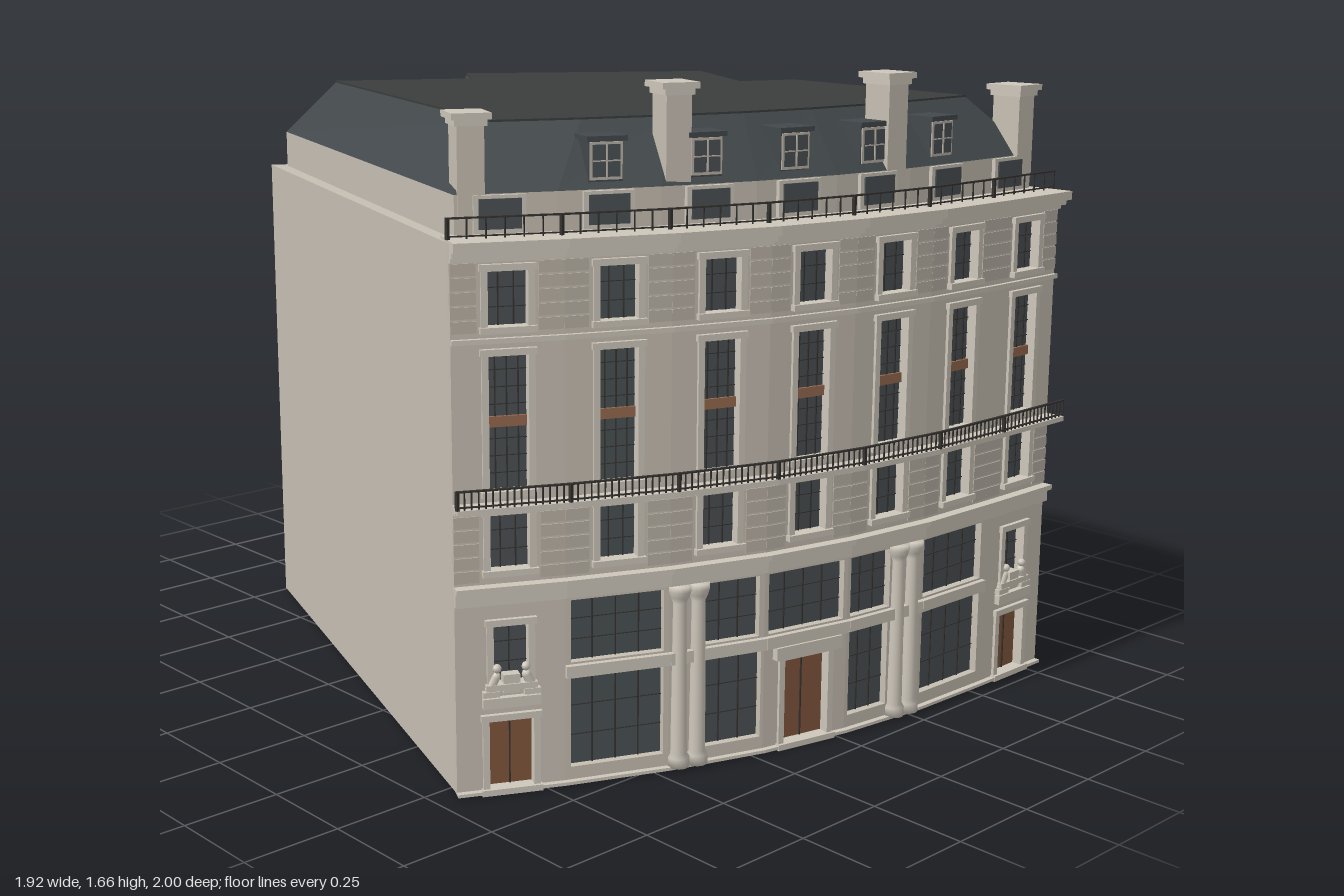
import * as THREE from 'three';

const mat = (color, opt = {}) => new THREE.MeshStandardMaterial({ color, flatShading: true, ...opt });
const stone = mat(0xc6beb2), trim = mat(0xcdc6ba), glass = mat(0x4a5054), slate = mat(0x42484b),
  flatRoof = mat(0x3b3d3c), wood = mat(0x80563c), copper = mat(0x94694f), iron = mat(0x34322f),
  joint = mat(0xb9b1a5), round = mat(0xcdc6ba, { flatShading: false });

// Plan outlines as [x, z]: the curved street front runs left to right, then the rest of the plot
const FRONT = [[-0.943, 0.553], [-0.705, 0.672], [-0.462, 0.776], [-0.215, 0.859], [0.033, 0.912], [0.29, 0.941], [0.547, 0.946], [0.81, 0.946]];
const REAR = [[0.9, 0.08], [0.69, 0.01], [0.953, -0.455], [0.208, -0.985], [0.054, -0.75], [-0.384, -1]];
const EAVE = [[-0.885, 0.5], [-0.665, 0.605], [-0.43, 0.705], [-0.19, 0.785], [0.04, 0.837], [0.285, 0.867], [0.54, 0.871], [0.785, 0.871],
  [0.862, 0.08], [0.65, 0.01], [0.91, -0.43], [0.203, -0.925], [0.054, -0.714], [-0.363, -0.947]];
const RIDGE = [[-0.728, 0.44], [-0.53, 0.535], [-0.33, 0.615], [-0.13, 0.68], [0.07, 0.722], [0.27, 0.745], [0.46, 0.75], [0.652, 0.75],
  [0.726, 0.075], [0.562, 0.012], [0.773, -0.354], [0.176, -0.767], [0.054, -0.592], [-0.294, -0.788]];

// Street front moved outward by d
function offset(d) {
  return FRONT.map(([x, z], i) => {
    const a = FRONT[Math.max(i - 1, 0)], b = FRONT[Math.min(i + 1, FRONT.length - 1)];
    const l = Math.hypot(b[0] - a[0], b[1] - a[1]);
    return [x - d * (b[1] - a[1]) / l, z + d * (b[0] - a[0]) / l];
  });
}

function add(parent, name, geo, material, x = 0, y = 0, z = 0) {
  const m = new THREE.Mesh(geo, material);
  m.name = name;
  m.position.set(x, y, z);
  parent.add(m);
  return m;
}

// Box given by its x, y and z ranges
const block = (p, name, m, x0, x1, y0, y1, z0, z1) =>
  add(p, name, new THREE.BoxGeometry(x1 - x0, y1 - y0, z1 - z0), m, (x0 + x1) / 2, (y0 + y1) / 2, (z0 + z1) / 2);

// Upright prism over a plan outline
function prism(p, name, m, pts, y0, y1) {
  const shape = new THREE.Shape(pts.map(([x, z]) => new THREE.Vector2(x, -z)));
  const geo = new THREE.ExtrudeGeometry(shape, { depth: y1 - y0, bevelEnabled: false });
  return add(p, name, geo.rotateX(-Math.PI / 2), m, 0, y0, 0);
}

// Moulding that follows the street front
const band = (p, name, m, y0, y1, d0, d1) =>
  prism(p, name, m, [...offset(d1), ...offset(d0).reverse()], y0, y1);

// Sloping surface between two outlines
function loft(p, name, m, lower, y0, upper, y1) {
  const v = [];
  lower.forEach((a, i) => {
    const j = (i + 1) % lower.length, b = lower[j], A = upper[i], B = upper[j];
    v.push(a[0], y0, a[1], b[0], y0, b[1], B[0], y1, B[1], a[0], y0, a[1], B[0], y1, B[1], A[0], y1, A[1]);
  });
  const geo = new THREE.BufferGeometry();
  geo.setAttribute('position', new THREE.Float32BufferAttribute(v, 3));
  geo.computeVertexNormals();
  return add(p, name, geo, m);
}

// Glazing or door leaf set into an opening, with glazing bars
function infill(p, name, m, [x0, x1, y0, y1], cols, rows) {
  block(p, name, m, x0, x1, y0, y1, -0.03, -0.02);
  for (let i = 1; i < cols; i++) {
    const x = x0 + (x1 - x0) * i / cols;
    block(p, name + 'Bar', iron, x - 0.0015, x + 0.0015, y0, y1, -0.021, -0.016);
  }
  for (let i = 1; i < rows; i++) {
    const y = y0 + (y1 - y0) * i / rows;
    block(p, name + 'Bar', iron, x0, x1, y - 0.001, y + 0.001, -0.021, -0.017);
  }
}

function surround(p, [x0, x1, y0, y1]) {
  for (const x of [x0, x1]) block(p, 'windowJamb', trim, x - 0.008, x + 0.008, y0, y1, -0.02, 0.008);
  block(p, 'windowHead', trim, x0 - 0.012, x1 + 0.012, y1 - 0.004, y1 + 0.012, -0.02, 0.012);
  block(p, 'windowSill', trim, x0 - 0.012, x1 + 0.012, y0 - 0.012, y0 + 0.003, -0.02, 0.016);
}

function column(p, x) {
  const pts = [[0, 0], [0.027, 0], [0.027, 0.025], [0.021, 0.035], [0.017, 0.42], [0.024, 0.435], [0.028, 0.45], [0.028, 0.465], [0, 0.465]];
  add(p, 'column', new THREE.LatheGeometry(pts.map(q => new THREE.Vector2(...q)), 16), round, x, 0.005, 0.004);
}

// Carved crest over an end door: shield with a seated beast on either side
function crest(p) {
  block(p, 'nameBoard', trim, -0.07, 0.07, 0.215, 0.24, -0.01, 0.016);
  block(p, 'shield', trim, -0.02, 0.02, 0.25, 0.295, -0.015, 0.012);
  for (const s of [-1, 1]) {
    const body = add(p, 'carvedBeast', new THREE.CapsuleGeometry(0.012, 0.035, 3, 8), round, s * 0.045, 0.275, 0.004);
    body.rotation.z = s * 0.45;
    add(p, 'carvedHead', new THREE.SphereGeometry(0.011, 8, 6), round, s * 0.035, 0.312, 0.008);
    block(p, 'carvedBase', trim, s * 0.05 - 0.02, s * 0.05 + 0.02, 0.243, 0.257, -0.01, 0.016);
  }
}

function chimney(p, x, z, top, angle) {
  const g = new THREE.Group();
  g.name = 'chimney';
  g.position.set(x, 0, z);
  g.rotation.y = angle;
  block(g, 'chimneyStack', stone, -0.032, 0.032, 1.36, top - 0.02, -0.042, 0.042);
  block(g, 'chimneyNeck', trim, -0.038, 0.038, top - 0.03, top - 0.015, -0.048, 0.048);
  block(g, 'chimneyCap', trim, -0.047, 0.047, top - 0.015, top, -0.055, 0.055);
  p.add(g);
}

// Railing along the street front
function railing(p, y0, y1, d, count) {
  band(p, 'handrail', iron, y1 - 0.004, y1, d - 0.004, d + 0.004);
  band(p, 'bottomRail', iron, y0 + 0.005, y0 + 0.008, d - 0.003, d + 0.003);
  const pts = offset(d), per = Math.round(count / 7);
  for (let i = 0; i < 7; i++) for (let k = 0; k <= per; k++) {
    const t = k / per, x = pts[i][0] + (pts[i + 1][0] - pts[i][0]) * t, z = pts[i][1] + (pts[i + 1][1] - pts[i][1]) * t;
    const w = k === 0 ? 0.004 : 0.0015;
    block(p, 'baluster', iron, x - w, x + w, y0, y1, z - w, z + w);
  }
}

// Shopfront openings by bay: [x0, x1, y0, y1, columns of panes]
const SHOP = {
  1: [[-0.118, 0.118, 0.04, 0.265, 4], [-0.118, 0.118, 0.305, 0.46, 4]],
  2: [[-0.04, 0.122, 0.04, 0.265, 3], [-0.04, 0.115, 0.305, 0.46, 3]],
  3: [[-0.075, 0.075, 0.008, 0.235, 2], [-0.115, 0.115, 0.305, 0.46, 4]],
  4: [[-0.118, 0.015, 0.04, 0.265, 3], [-0.118, 0.018, 0.305, 0.46, 3]],
  5: [[-0.118, 0.118, 0.04, 0.265, 4], [-0.118, 0.118, 0.305, 0.46, 4]],
};

function bay(i) {
  const g = new THREE.Group(), a = FRONT[i], b = FRONT[i + 1];
  g.name = 'facadeBay';
  g.position.set((a[0] + b[0]) / 2, 0, (a[1] + b[1]) / 2);
  g.rotation.y = Math.atan2(a[1] - b[1], b[0] - a[0]);
  const h = Math.hypot(b[0] - a[0], b[1] - a[1]) / 2, end = !SHOP[i], w = 0.055;
  const upper = [[-w, w, 0.55, 0.69], [-w, w, 0.74, 1.065], [-w, w, 1.125, 1.26]];
  const lower = end ? [[-0.062, 0.062, 0.008, 0.185, 2], [-0.05, 0.05, 0.27, 0.42, 2]] : SHOP[i];

  // Wall panel with openings
  const shape = new THREE.Shape([[-h, 0], [h, 0], [h, 1.32], [-h, 1.32]].map(q => new THREE.Vector2(...q)));
  for (const [x0, x1, y0, y1] of [...upper, ...lower])
    shape.holes.push(new THREE.Path([[x0, y0], [x0, y1], [x1, y1], [x1, y0]].map(q => new THREE.Vector2(...q))));
  add(g, 'facadeWall', new THREE.ExtrudeGeometry(shape, { depth: 0.03, bevelEnabled: false }), stone, 0, 0, -0.03);

  upper.forEach((o, k) => { infill(g, 'window', glass, o, k === 1 ? 4 : 3, [3, 8, 3][k]); surround(g, o); });
  block(g, 'spandrelPanel', copper, -w + 0.008, w - 0.008, 0.89, 0.915, -0.025, -0.012);

  // Ground floor
  lower.forEach((o, k) => {
    const door = k === 0 && (end || i === 3);
    infill(g, door ? 'door' : 'shopWindow', door ? wood : glass, o, o[4], door ? 1 : 3);
    if (end || door) surround(g, o);
  });
  if (end) crest(g);
  else block(g, 'shopTransom', trim, -h, h, 0.27, 0.3, -0.01, 0.014);
  if (i === 3) block(g, 'doorHood', trim, -0.1, 0.1, 0.237, 0.27, -0.01, 0.02);
  if (i === 2) [-0.105, -0.055].forEach(x => column(g, x));
  if (i === 4) [0.042, 0.092].forEach(x => column(g, x));

  // Stone courses on the piers
  for (const y0 of [0.525, 1.115]) for (let k = 0; k < 5; k++) for (const s of [-1, 1]) {
    const c = s * (h + w + 0.018) / 2, r = (h - w - 0.018) / 2;
    block(g, 'stoneCourse', joint, c - r, c + r, y0 + k * 0.033, y0 + k * 0.033 + 0.028, -0.01, 0.003);
  }

  // Attic window and dormer
  block(g, 'atticFrame', trim, -0.062, 0.062, 1.33, 1.418, -0.09, -0.064);
  block(g, 'atticWindow', glass, -0.05, 0.05, 1.34, 1.41, -0.09, -0.06);
  if (!end) {
    block(g, 'dormerBody', slate, -0.042, 0.042, 1.43, 1.53, -0.19, -0.09);
    block(g, 'dormerRoof', slate, -0.05, 0.05, 1.53, 1.542, -0.19, -0.08);
    block(g, 'dormerFrame', joint, -0.04, 0.04, 1.44, 1.528, -0.1, -0.086);
    block(g, 'dormerWindow', glass, -0.034, 0.034, 1.447, 1.522, -0.1, -0.084);
    block(g, 'dormerBar', joint, -0.002, 0.002, 1.447, 1.522, -0.1, -0.081);
    block(g, 'dormerBar', joint, -0.034, 0.034, 1.483, 1.486, -0.1, -0.081);
  }
  return g;
}

export function createModel() {
  const model = new THREE.Group();
  model.name = 'cornerTownBuilding';

  // Main mass, attic storey and mansard roof
  prism(model, 'mainWalls', stone, [...offset(-0.03), ...REAR], 0, 1.32);
  prism(model, 'atticWalls', stone, EAVE, 1.32, 1.42);
  loft(model, 'mansardSlope', slate, EAVE, 1.42, RIDGE, 1.57);
  prism(model, 'flatRoof', flatRoof, RIDGE, 1.57, 1.575);

  for (let i = 0; i < 7; i++) model.add(bay(i));

  // Mouldings: [name, bottom, top, inner offset, outer offset]
  for (const [name, y0, y1, d0, d1] of [
    ['plinth', 0, 0.008, -0.02, 0.015], ['shopFascia', 0.47, 0.505, -0.02, 0.014], ['fasciaCornice', 0.505, 0.518, -0.02, 0.028],
    ['balconySlab', 0.703, 0.716, -0.02, 0.054], ['balconyBracketCourse', 0.694, 0.703, -0.02, 0.025],
    ['stringCourse', 1.09, 1.102, -0.02, 0.012], ['frieze', 1.278, 1.29, -0.02, 0.012],
    ['corniceLower', 1.29, 1.305, -0.02, 0.028], ['corniceUpper', 1.305, 1.328, -0.09, 0.045],
  ]) band(model, name, trim, y0, y1, d0, d1);

  railing(model, 0.716, 0.762, 0.05, 112);
  railing(model, 1.328, 1.378, -0.015, 42);

  chimney(model, -0.833, 0.483, 1.605, -0.45);
  chimney(model, -0.368, 0.675, 1.66, -0.37);
  chimney(model, 0.24, 0.82, 1.66, -0.11);
  chimney(model, 0.742, 0.84, 1.605, 0);
  return model;
}
